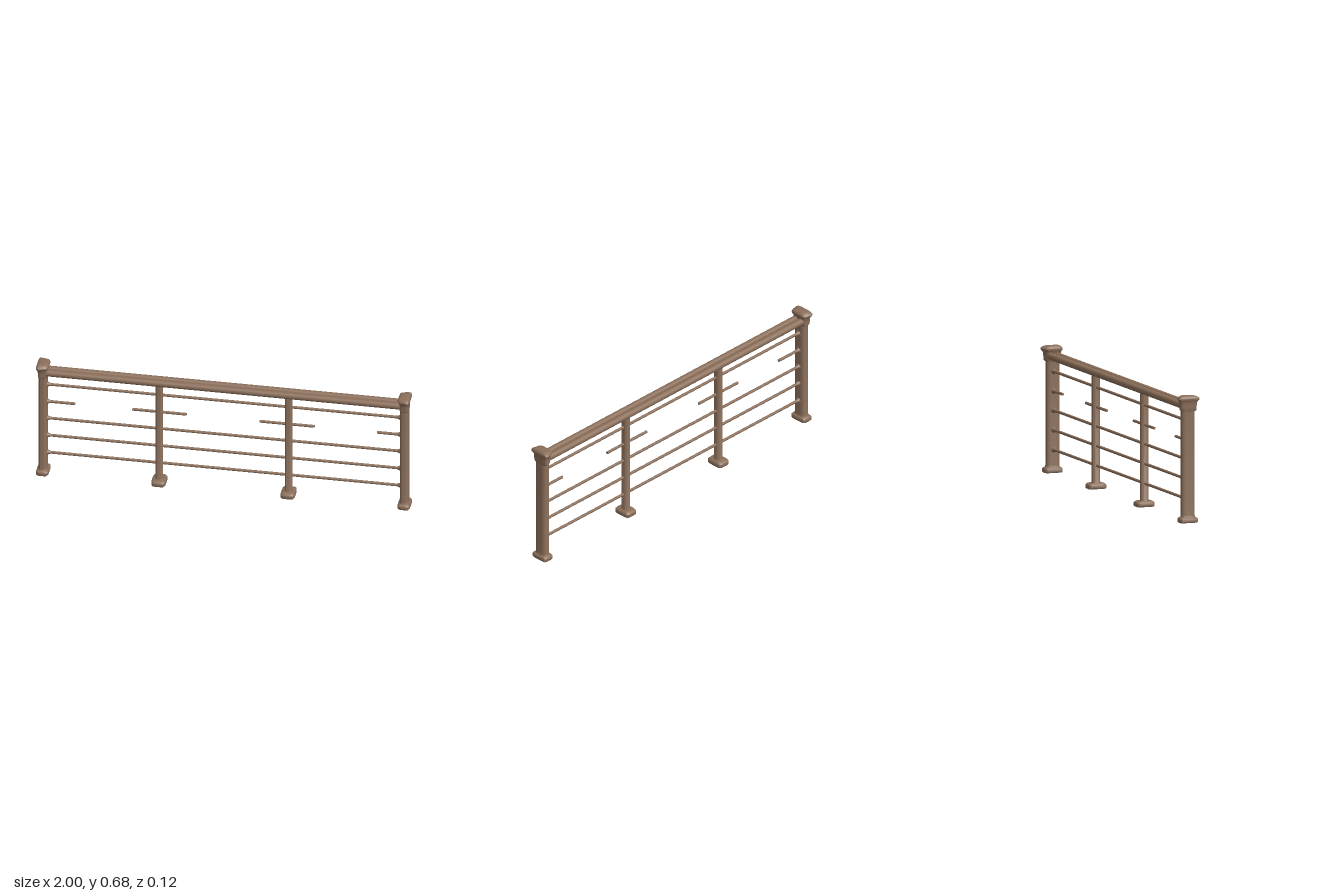
import * as THREE from 'three';
import { toCreasedNormals } from 'three/addons/utils/BufferGeometryUtils.js';

// Stack of rounded-rectangle rings: each section is [y, halfX, halfZ].
// power 2 is an ellipse, higher is boxier; taper widens z towards +x.
function loft(sections, power = 3, taper = 0, sides = 40) {
  const pos = [], index = [];
  const soft = (v) => Math.sign(v) * Math.pow(Math.abs(v), 2 / power);
  for (const [y, hx, hz] of sections) {
    for (let j = 0; j < sides; j++) {
      const a = (j / sides) * Math.PI * 2;
      const cx = soft(Math.cos(a));
      pos.push(hx * cx, y, hz * soft(Math.sin(a)) * (1 + taper * (cx - 1)));
    }
  }
  const last = sections.length - 1;
  for (let i = 0; i < last; i++) {
    for (let j = 0; j < sides; j++) {
      const a = i * sides + j, b = i * sides + ((j + 1) % sides);
      index.push(a, a + sides, b + sides, a, b + sides, b);
    }
  }
  const bottom = pos.length / 3;
  pos.push(0, sections[0][0], 0, 0, sections[last][0], 0);
  for (let j = 0; j < sides; j++) {
    const k = (j + 1) % sides;
    index.push(bottom, j, k, bottom + 1, last * sides + k, last * sides + j);
  }
  const g = new THREE.BufferGeometry();
  g.setAttribute('position', new THREE.Float32BufferAttribute(pos, 3));
  g.setIndex(index);
  return toCreasedNormals(g, 0.7);
}

export function createModel() {
  const model = new THREE.Group();
  model.name = 'railing';
  const bronze = new THREE.MeshStandardMaterial({ color: 0x8b6f5a });
  bronze.name = 'bronze brown';

  const add = (name, geometry, parent, x = 0, y = 0, z = 0) => {
    const mesh = new THREE.Mesh(geometry, bronze);
    mesh.name = name;
    mesh.position.set(x, y, z);
    parent.add(mesh);
    return mesh;
  };
  // Horizontal round bar from x0 to x1
  const bar = (name, x0, x1, y, z, r) => {
    const g = new THREE.CylinderGeometry(r, r, x1 - x0, 16).rotateZ(Math.PI / 2);
    return add(name, g, model, (x0 + x1) / 2, y, z);
  };

  const foot = (hx, hz) => loft([
    [0, hx - 0.003, hz - 0.003], [0.004, hx, hz], [0.02, hx, hz],
    [0.026, hx - 0.004, hz - 0.005], [0.03, hx - 0.01, hz - 0.012],
  ], 5);
  const endFoot = foot(0.033, 0.051);
  const midFoot = foot(0.038, 0.051);
  const endShaft = loft([
    [0.025, 0.027, 0.043], [0.032, 0.024, 0.039], [0.042, 0.0225, 0.037],
    [0.62, 0.0225, 0.037],
  ], 2.8);
  const midShaft = loft([
    [0.025, 0.024, 0.028], [0.034, 0.019, 0.023], [0.615, 0.019, 0.023],
  ], 2.3);
  // Bracket flaring into a crowned cap, wider on the outer side
  const bracket = loft([
    [0.593, 0.0225, 0.04], [0.6, 0.025, 0.048], [0.62, 0.025, 0.049],
    [0.638, 0.026, 0.05], [0.648, 0.029, 0.055],
  ], 4, 0.08);
  const cap = loft([
    [0.645, 0.028, 0.054], [0.652, 0.032, 0.061], [0.659, 0.033, 0.064],
    [0.666, 0.031, 0.059], [0.672, 0.027, 0.048], [0.675, 0.02, 0.038],
  ], 5, 0.12);
  // Small flared collar where a bar meets an end post
  const collar = new THREE.LatheGeometry([
    [0.016, 0], [0.013, 0.005], [0.01, 0.012], [0.007, 0.022],
  ].map(([r, y]) => new THREE.Vector2(r, y)), 16).rotateZ(Math.PI / 2);

  const heights = [0.123, 0.228, 0.333, 0.435, 0.54];

  for (const side of [1, -1]) {
    const label = side > 0 ? 'left' : 'right';
    // End post, turned so its wider cap edge faces outwards
    const post = new THREE.Group();
    post.name = label + 'EndPost';
    post.position.x = side * 0.967;
    post.rotation.y = side > 0 ? 0 : Math.PI;
    add('endFoot', endFoot, post);
    add('endShaft', endShaft, post);
    add('capBracket', bracket, post);
    add('postCap', cap, post);
    for (const y of heights) add('barCollar', collar, post, -0.021, y);
    model.add(post);

    // Intermediate post
    const mid = new THREE.Group();
    mid.name = label + 'MiddlePost';
    mid.position.x = side * 0.346;
    add('middleFoot', midFoot, mid);
    add('middleShaft', midShaft, mid);
    model.add(mid);

    // Twin handrail tube, one on each side of the centre line
    bar(side > 0 ? 'frontHandrail' : 'backHandrail', -0.96, 0.96, 0.621, side * 0.0205, 0.0185);
  }
  // Web closing the groove between the handrail tubes
  add('handrailWeb', new THREE.BoxGeometry(1.92, 0.022, 0.02), model, 0, 0.621, 0);

  // Full-length infill bars
  for (const y of [0.123, 0.228, 0.333, 0.54]) bar('infillBar', -0.96, 0.96, y, 0, 0.0075);

  // Short bar pieces on the broken row
  for (const [x0, x1] of [[-0.96, -0.797], [-0.49, -0.2], [0.19, 0.485], [0.82, 0.96]]) {
    bar('shortBar', x0, x1, 0.435, 0, 0.0075);
  }
  return model;
}
